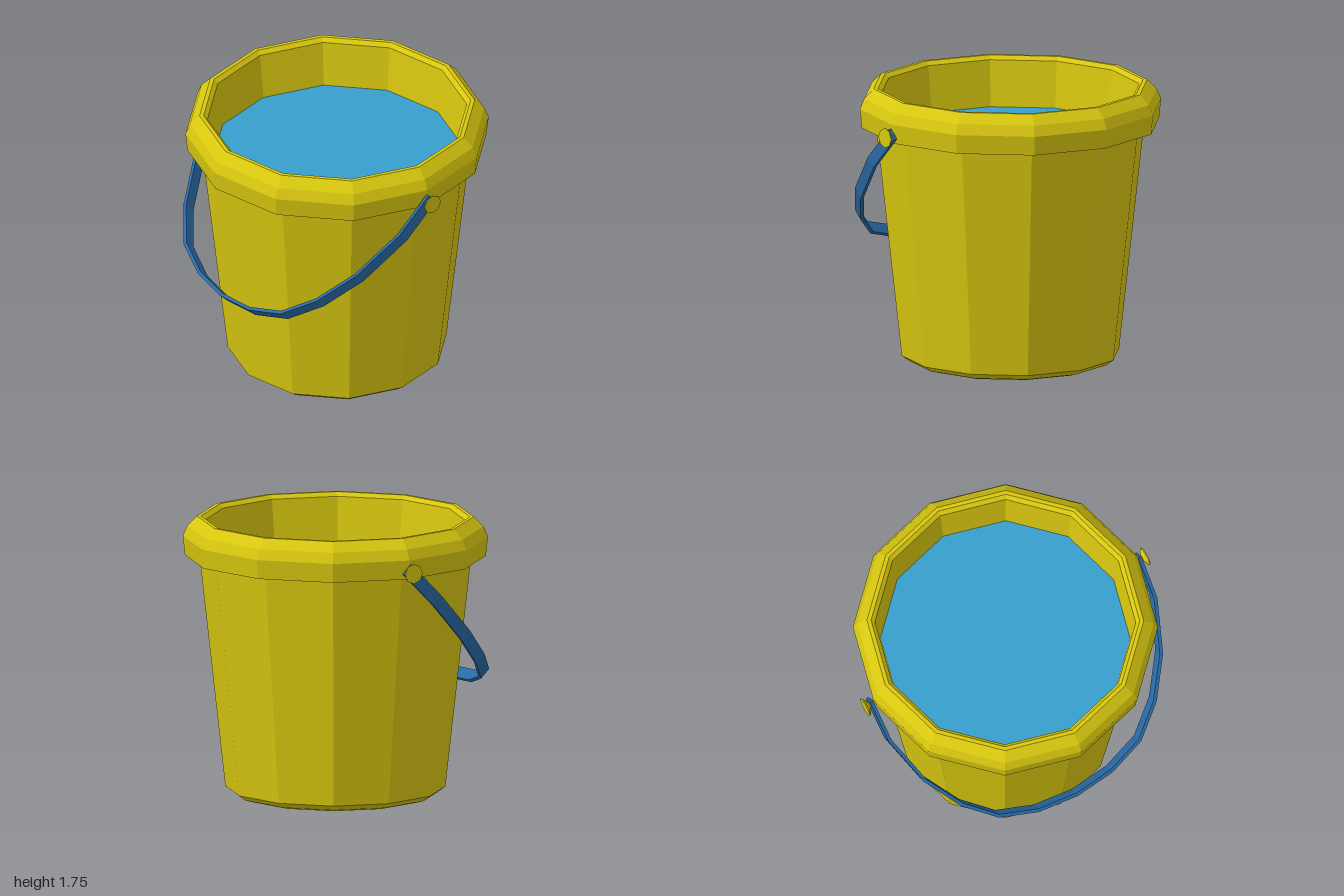
import * as THREE from 'three';

const SIDES = 12;
const PIVOT_Y = 1.545;

const paint = (color) => new THREE.MeshStandardMaterial({ color, flatShading: true });
const yellow = paint(0xd8c70f);
const blue = paint(0x2a6aa5);
const waterBlue = paint(0x37a0cc);

function add(parent, name, geometry, material) {
  const mesh = new THREE.Mesh(geometry, material);
  mesh.name = name;
  parent.add(mesh);
  return mesh;
}

function lathe(points, sides) {
  return new THREE.LatheGeometry(points.map(([r, y]) => new THREE.Vector2(r, y)), sides);
}

// Half of the handle's curve: [distance from the pivot, sideways reach]
const HALF_BAIL = [[-0.03, 0.955], [0.27, 0.945], [0.63, 0.84], [0.9, 0.685], [1.09, 0.5], [1.185, 0.26]];

function handleGeometry() {
  const path = [
    ...HALF_BAIL.map(([s, z]) => [s, -z]),
    [1.215, 0],
    ...HALF_BAIL.map(([s, z]) => [s, z]).reverse(),
  ].map(([s, z]) => new THREE.Vector2(s, z));

  // Offset the curve to both sides to give the strap its thickness
  const offset = (d) => path.map((p, i) => {
    const a = path[Math.max(i - 1, 0)];
    const b = path[Math.min(i + 1, path.length - 1)];
    const t = b.clone().sub(a).normalize();
    return new THREE.Vector2(p.x + t.y * d, p.y - t.x * d);
  });
  const shape = new THREE.Shape([...offset(0.011), ...offset(-0.011).reverse()]);
  const geometry = new THREE.ExtrudeGeometry(shape, { depth: 0.08, bevelEnabled: false });
  geometry.translate(0, 0, -0.04);

  // Let the strap hang at 45 degrees towards -x
  const k = Math.SQRT1_2;
  return geometry.applyMatrix4(new THREE.Matrix4().makeBasis(
    new THREE.Vector3(-k, -k, 0), new THREE.Vector3(0, 0, 1), new THREE.Vector3(-k, k, 0),
  ));
}

export function createModel() {
  const model = new THREE.Group();
  model.name = 'bucket';

  // Tapered body, rolled rim and inner wall in one closed profile
  add(model, 'bucketBody', lathe([
    [0, 0], [0.58, 0], [0.635, 0.016], [0.68, 0.05], [0.84, 1.5],
    [0.93, 1.5], [0.942, 1.62], [0.915, 1.685], [0.855, 1.745],
    [0.83, 1.745], [0.805, 1.72], [0.77, 1.42], [0.62, 0.07], [0, 0.07],
  ], SIDES), yellow);

  // Water surface
  const water = new THREE.CircleGeometry(0.772, SIDES).rotateX(-Math.PI / 2);
  add(model, 'water', water, waterBlue).position.y = 1.43;

  // Carrying handle
  add(model, 'handle', handleGeometry(), blue).position.y = PIVOT_Y;

  // Pivot pins with flared heads, front and back
  for (const side of [1, -1]) {
    const pin = lathe([[0.022, 0.9], [0.022, 0.972], [0.062, 0.993], [0.062, 1], [0, 1]], 8);
    pin.rotateX(side * Math.PI / 2);
    add(model, side > 0 ? 'frontPin' : 'backPin', pin, yellow).position.y = PIVOT_Y;
  }

  return model;
}
